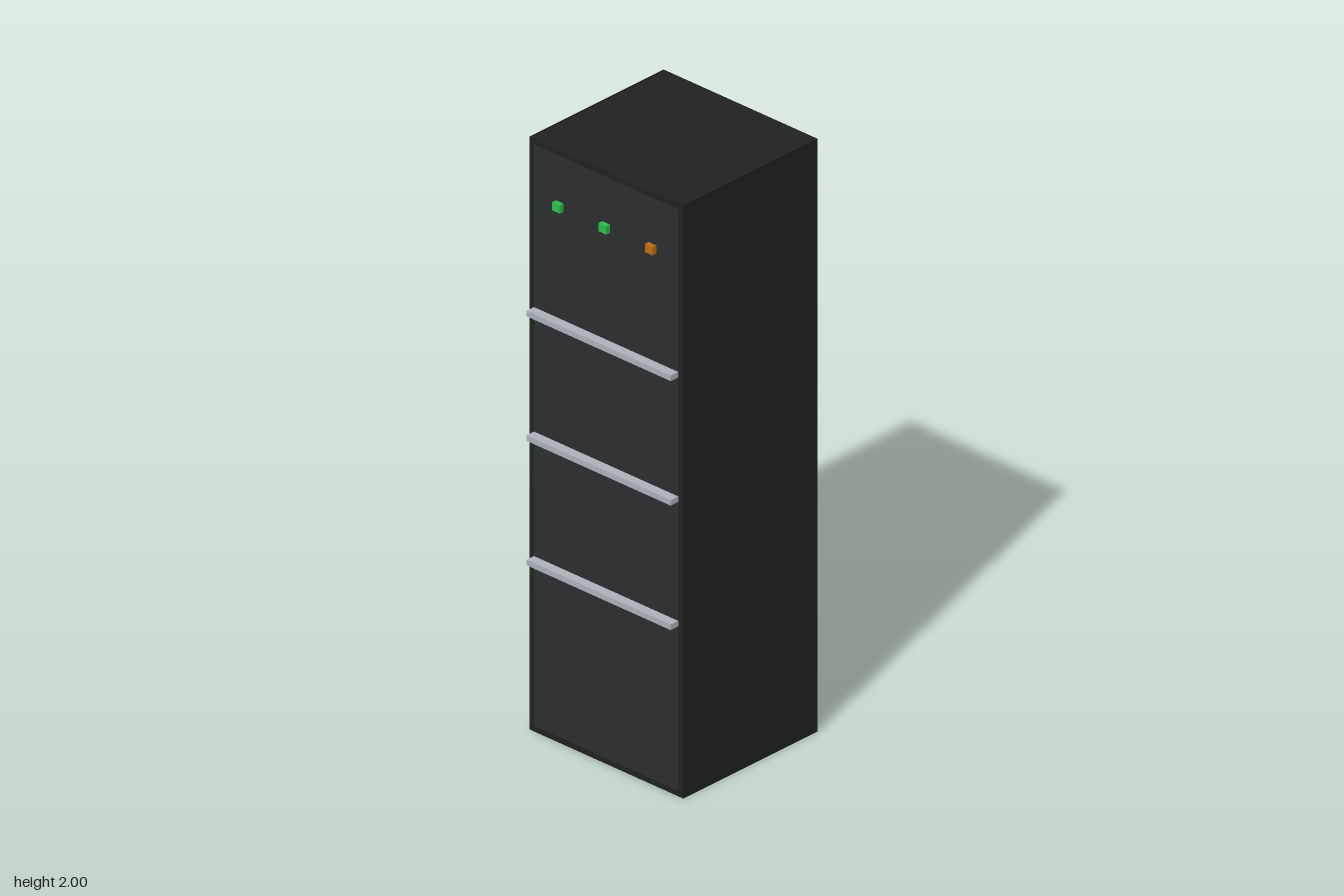
import * as THREE from 'three';

// Adds a named, coloured box given its size and centre
function addBox(parent, name, color, size, centre) {
  const material = new THREE.MeshStandardMaterial({ color });
  const mesh = new THREE.Mesh(new THREE.BoxGeometry(...size), material);
  mesh.name = name;
  mesh.position.set(...centre);
  parent.add(mesh);
  return mesh;
}

export function createModel() {
  const model = new THREE.Group();
  model.name = 'cabinet';
  const back = -0.307, front = 0.272;

  // Tall cabinet body
  addBox(model, 'body', 0x202221, [0.63, 2, front - back], [0, 1, (front + back) / 2]);

  // Front panel, a hair proud of the body so a thin frame shows around it
  addBox(model, 'frontPanel', 0x2c2d30, [0.59, 1.96, 0.02], [0, 1, front - 0.009]);

  // Horizontal rails across the front
  [0.58, 1.0, 1.42].forEach((y, i) => {
    addBox(model, `rail${i + 1}`, 0xaeb1ba, [0.59, 0.019, 0.04], [0, y + 0.003, 0.285]);
  });

  // Row of indicator lights
  [[-0.19, 0x2abf4c], [0, 0x2abf4c], [0.19, 0xbd6c12]].forEach(([x, color], i) => {
    addBox(model, `indicatorLight${i + 1}`, color, [0.031, 0.028, 0.025], [x, 1.812, 0.2765]);
  });

  return model;
}
